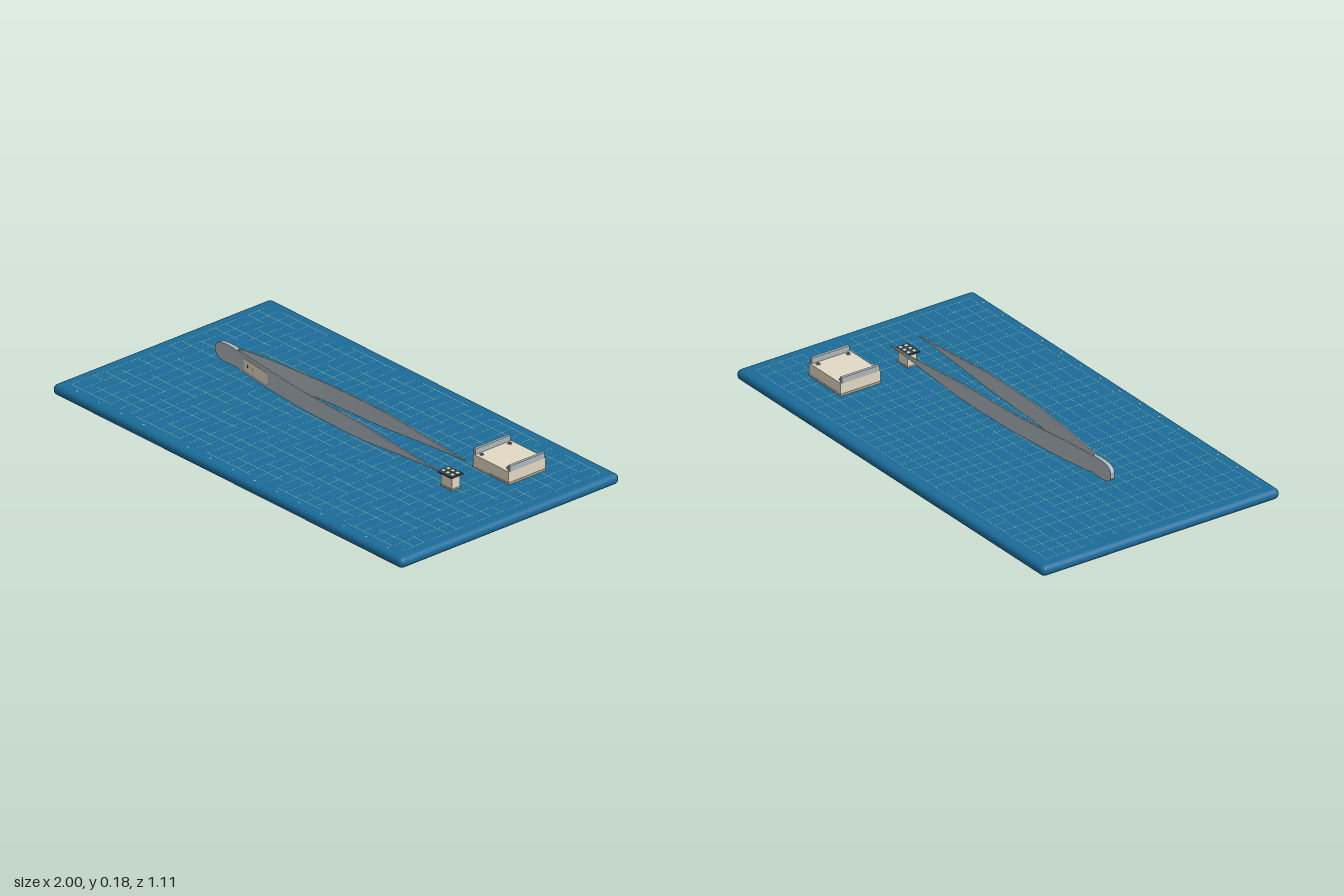
import * as THREE from 'three';
import { RoundedBoxGeometry } from 'three/addons/geometries/RoundedBoxGeometry.js';

const mat = (name, color) => new THREE.MeshStandardMaterial({ name, color });

// Blade stations: x, half height, distance from the centre plane
const STATIONS = [
  [-0.68, 0.012, 0.006], [-0.672, 0.025, 0.006], [-0.655, 0.035, 0.006],
  [-0.62, 0.039, 0.006], [-0.575, 0.038, 0.006], [-0.56, 0.035, 0.007],
  [-0.545, 0.038, 0.009], [-0.5, 0.039, 0.015], [-0.4, 0.041, 0.028],
  [-0.25, 0.039, 0.044], [-0.1, 0.038, 0.057], [0.1, 0.036, 0.063],
  [0.22, 0.033, 0.066], [0.3, 0.027, 0.067], [0.4, 0.019, 0.067],
  [0.5, 0.011, 0.067], [0.58, 0.005, 0.067], [0.665, 0.002, 0.067],
];
const BLADE_Y = 0.137;

// Distance of the blade from the centre plane at x
function bladeZ(x) {
  let i = 1;
  while (i < STATIONS.length - 1 && STATIONS[i][0] < x) i++;
  const [x0, , z0] = STATIONS[i - 1], [x1, , z1] = STATIONS[i];
  return z0 + (z1 - z0) * (x - x0) / (x1 - x0);
}

// Sweeps a thin rectangular section through [x, halfHeight, z] stations
function sweep(stations, thickness, side = 1) {
  const pos = [], index = [], t = thickness / 2;
  const ring = stations.map(([x, h, z]) =>
    [[-h, -t], [-h, t], [h, t], [h, -t]].map(([dy, dz]) => [x, BLADE_Y + dy, side * z + dz]));
  for (let k = 0; k < 4; k++) {
    const start = pos.length / 3;
    ring.forEach(r => pos.push(...r[k], ...r[(k + 1) % 4]));
    for (let i = 0; i < ring.length - 1; i++) {
      const a = start + 2 * i;
      index.push(a, a + 2, a + 1, a + 1, a + 2, a + 3);
    }
  }
  [ring[0], [...ring[ring.length - 1]].reverse()].forEach(r => {
    const a = pos.length / 3;
    r.forEach(p => pos.push(...p));
    index.push(a, a + 1, a + 2, a, a + 2, a + 3);
  });
  const g = new THREE.BufferGeometry();
  g.setAttribute('position', new THREE.Float32BufferAttribute(pos, 3));
  g.setIndex(index);
  g.computeVertexNormals();
  return g;
}

export function createModel() {
  const blue = mat('mat blue', 0x1b6c9a);
  const line = mat('grid line', 0xe2d68c);
  const steel = mat('steel', 0xacb6ba);
  const pale = mat('pale beige', 0xe2d9c4);
  const tan = mat('base beige', 0xc2b9a2);
  const dark = mat('dark metal', 0x2f4350);

  const model = new THREE.Group();
  const group = (name) => {
    const g = new THREE.Group();
    g.name = name;
    model.add(g);
    return g;
  };
  const add = (parent, name, geometry, material, x = 0, y = 0, z = 0) => {
    const m = new THREE.Mesh(geometry, material);
    m.name = name;
    m.position.set(x, y, z);
    parent.add(m);
    return m;
  };
  const box = (parent, name, material, w, h, d, x, y, z) =>
    add(parent, name, new THREE.BoxGeometry(w, h, d), material, x, y, z);

  // Cutting mat with rounded rim
  const board = group('cuttingMat');
  add(board, 'matBody', new RoundedBoxGeometry(2, 0.045, 1.11, 5, 0.022), blue, 0, 0.0225, 0);

  // Fine printed grid and ruler ticks as flat faces
  const step = 1 / 18, w = 0.0009;
  const printed = (name, sx, sz, x, z) =>
    add(board, name, new THREE.PlaneGeometry(sx, sz).rotateX(-Math.PI / 2), line, x, 0.0458, z);
  for (let i = -17; i <= 17; i++) printed('gridLineZ', w, 18 * step, i * step, 0);
  for (let i = -9; i <= 9; i++) printed('gridLineX', 34 * step, w, 0, i * step);
  for (let i = -7; i <= 7; i++) printed('rulerTick', 0.009, 0.004, i * 0.127, 0.523);

  // Tweezers: two mirrored blades joined by a filled tail
  const tweezers = group('tweezers');
  add(tweezers, 'frontBlade', sweep(STATIONS, 0.006, 1), steel);
  add(tweezers, 'backBlade', sweep(STATIONS, 0.006, -1), steel);
  add(tweezers, 'tailJoint', sweep(STATIONS.slice(0, 6).map(([x, h]) => [x, h, 0]), 0.012), steel);

  // Label plate on the front blade with small marks
  const strip = (x0, x1, h, offset) => sweep(
    [x0, ...[-0.5, -0.4].filter(x => x > x0 && x < x1), x1].map(x => [x, h, bladeZ(x) + offset]), 0.002);
  add(tweezers, 'labelPlate', strip(-0.508, -0.349, 0.024, 0.0035), pale);
  for (const x of [-0.48, -0.445]) {
    add(tweezers, 'labelMark', strip(x - 0.002, x + 0.002, 0.006, 0.005), dark);
  }

  // Large square component with side rails and corner screws
  const block = group('squareComponent');
  const cx = 0.688, cz = -0.267;
  box(block, 'blockBase', tan, 0.208, 0.008, 0.188, cx, 0.049, cz);
  box(block, 'blockBody', pale, 0.204, 0.047, 0.186, cx, 0.0755, cz);
  for (const s of [-1, 1]) {
    box(block, 'sideRail', steel, 0.012, 0.024, 0.176, cx + s * 0.098, 0.11, cz);
    for (const t of [-1, 1]) {
      add(block, 'cornerScrew', new THREE.CylinderGeometry(0.009, 0.009, 0.004, 16),
        steel, cx + s * 0.076, 0.1, cz + t * 0.071);
      add(block, 'screwSocket', new THREE.CylinderGeometry(0.005, 0.005, 0.001, 12),
        dark, cx + s * 0.076, 0.1024, cz + t * 0.071);
    }
  }

  // Small component between the blade tips, with contacts on top
  const chip = group('smallComponent');
  const sx = 0.654;
  box(chip, 'chipBase', tan, 0.066, 0.006, 0.043, sx, 0.048, 0);
  box(chip, 'chipBody', pale, 0.062, 0.05, 0.041, sx, 0.075, 0);
  box(chip, 'contactPlate', dark, 0.08, 0.006, 0.062, sx, 0.103, 0);
  for (const s of [-1, 0, 1]) {
    for (const t of [-1, 1]) {
      box(chip, 'contactPad', pale, 0.014, 0.002, 0.014, sx + s * 0.026, 0.107, t * 0.013);
    }
  }
  return model;
}
